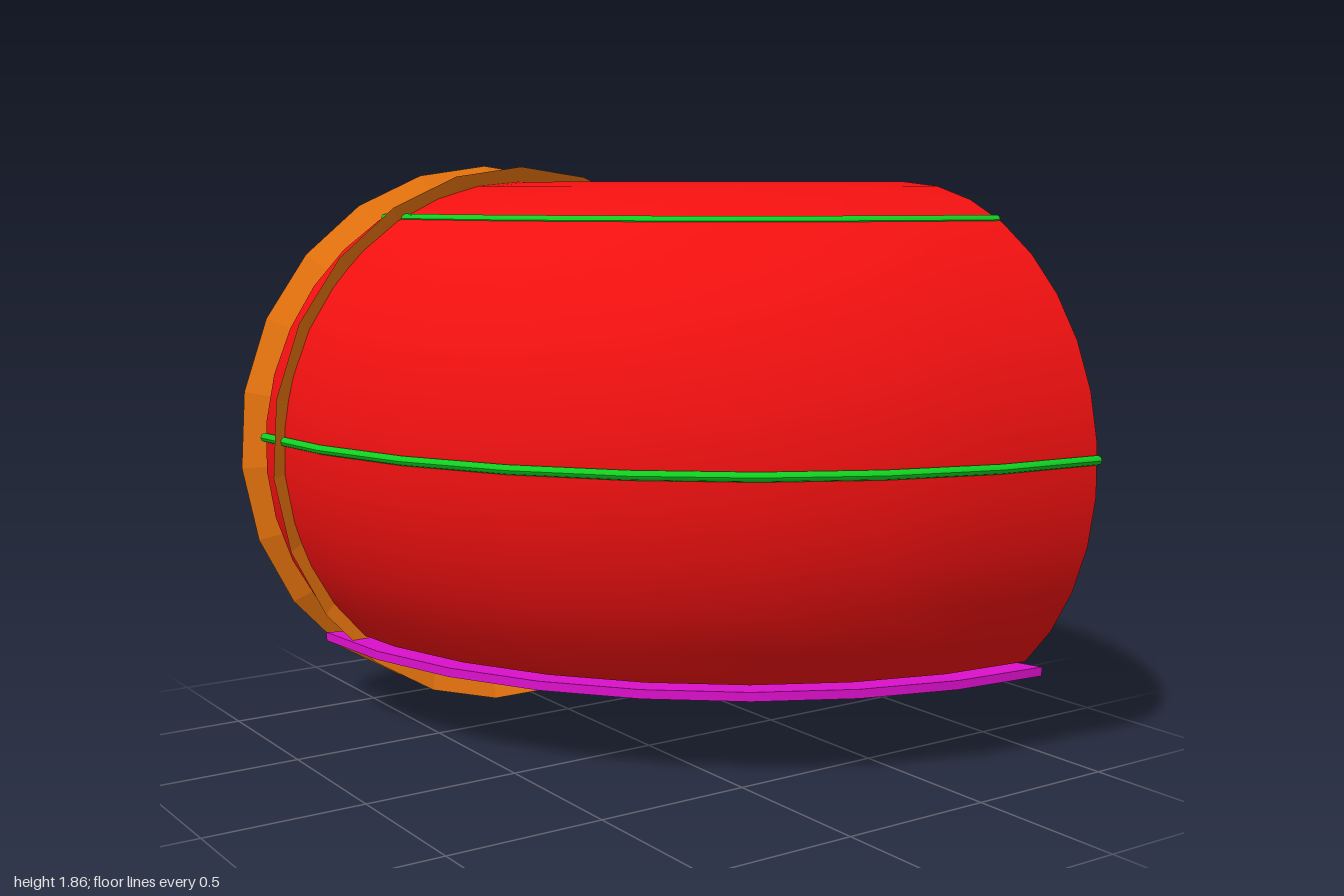
import * as THREE from 'three';
import { toCreasedNormals } from 'three/addons/utils/BufferGeometryUtils.js';

const BEND = 8;                 // segments around the quarter bend
const MID = 0.99;               // bend radius of the tunnel centre line
const HALF_PI = Math.PI / 2;

const material = (color, flatShading = false) =>
  new THREE.MeshStandardMaterial({ color, flatShading, side: THREE.DoubleSide });

// Sweeps a (radius, height) profile through the quarter bend
function sweep(profile, segments = BEND) {
  const points = profile.map(([r, y]) => new THREE.Vector2(r, y));
  return new THREE.LatheGeometry(points, segments, 1.5 * Math.PI, HALF_PI);
}

function circleProfile(r, y, radius, sides) {
  const profile = [];
  for (let i = 0; i <= sides; i++) {
    const a = (i / sides) * Math.PI * 2;
    profile.push([r + radius * Math.cos(a), y + radius * Math.sin(a)]);
  }
  return profile;
}

function add(parent, name, geometry, mat) {
  const mesh = new THREE.Mesh(geometry, mat);
  mesh.name = name;
  parent.add(mesh);
  return mesh;
}

export function createModel() {
  const model = new THREE.Group();
  model.name = 'curvedTunnel';
  const bend = new THREE.Group();
  bend.name = 'bend';
  bend.position.set(0.96, 0, -0.89);
  model.add(bend);

  const red = material(0xf01010);
  const green = material(0x10d020);
  const magenta = material(0xdd10cc);
  const orange = material(0xee770f, true);
  const dark = material(0x28353a);

  // Tunnel shell: round walls and roof over a shallow floor
  const shell = [];
  const from = -0.8, to = Math.PI + 0.8;
  for (let i = 0; i <= 26; i++) {
    const a = from + ((to - from) * i) / 26;
    shell.push([MID + 0.887 * Math.cos(a), 0.93 + 0.88 * Math.sin(a)]);
  }
  shell.push([MID - 0.36, 0.235], [MID - 0.2, 0.212], [MID + 0.2, 0.212], [MID + 0.36, 0.235], shell[0]);
  add(bend, 'tunnelShell', toCreasedNormals(sweep(shell), 0.45), red);

  // Pipes along the walls and roof
  for (const side of [-1, 1]) {
    for (const [offset, y] of [[0.888, 0.98], [0.437, 1.69]]) {
      add(bend, 'pipe', sweep(circleProfile(MID + side * offset, y, 0.015, 8)), green);
    }
  }

  // Sloped walkways either side of the floor, with closed ends
  for (const side of [-1, 1]) {
    let plate = [[0.2, 0.225], [0.69, 0.268], [0.69, 0.297], [0.2, 0.255]]
      .map(([o, y]) => [MID + side * o, y]);
    if (side < 0) plate.reverse();
    const walkway = new THREE.Group();
    walkway.name = 'walkway';
    bend.add(walkway);
    add(walkway, 'walkwayPlate', toCreasedNormals(sweep([...plate, plate[0]]), 0.5), magenta);
    const outline = new THREE.Shape(plate.map(([r, y]) => new THREE.Vector2(r, y)));
    for (const turn of [-HALF_PI, Math.PI]) {
      add(walkway, 'walkwayEnd', new THREE.ShapeGeometry(outline).rotateY(turn), magenta);
    }
  }

  // Floor grating of thin curved and radial bars
  const grating = new THREE.Group();
  grating.name = 'grating';
  bend.add(grating);
  const bar = 0.003;
  for (let i = 0; i <= 12; i++) {
    const r = MID - 0.2 + (0.4 * i) / 12;
    add(grating, 'curvedBar', sweep(circleProfile(r, 0.242, bar, 4), 16), dark);
  }
  for (let i = 0; i <= 36; i++) {
    const holder = new THREE.Group();
    holder.name = 'radialBar';
    holder.rotation.y = -(HALF_PI * i) / 36;
    add(holder, 'bar', new THREE.BoxGeometry(bar * 2, bar * 2, 0.4), dark).position.set(0, 0.238, MID);
    grating.add(holder);
  }

  // Spool-shaped collar at the rear opening
  const collar = [[0.93, 0.74], [0.78, 0.82], [0.78, 0.89], [0.935, 1]]
    .map(([r, h]) => new THREE.Vector2(r, h));
  add(model, 'collar', new THREE.LatheGeometry(collar, 23).rotateX(-HALF_PI), orange)
    .position.set(-0.025, 0.931, 0);

  return model;
}
